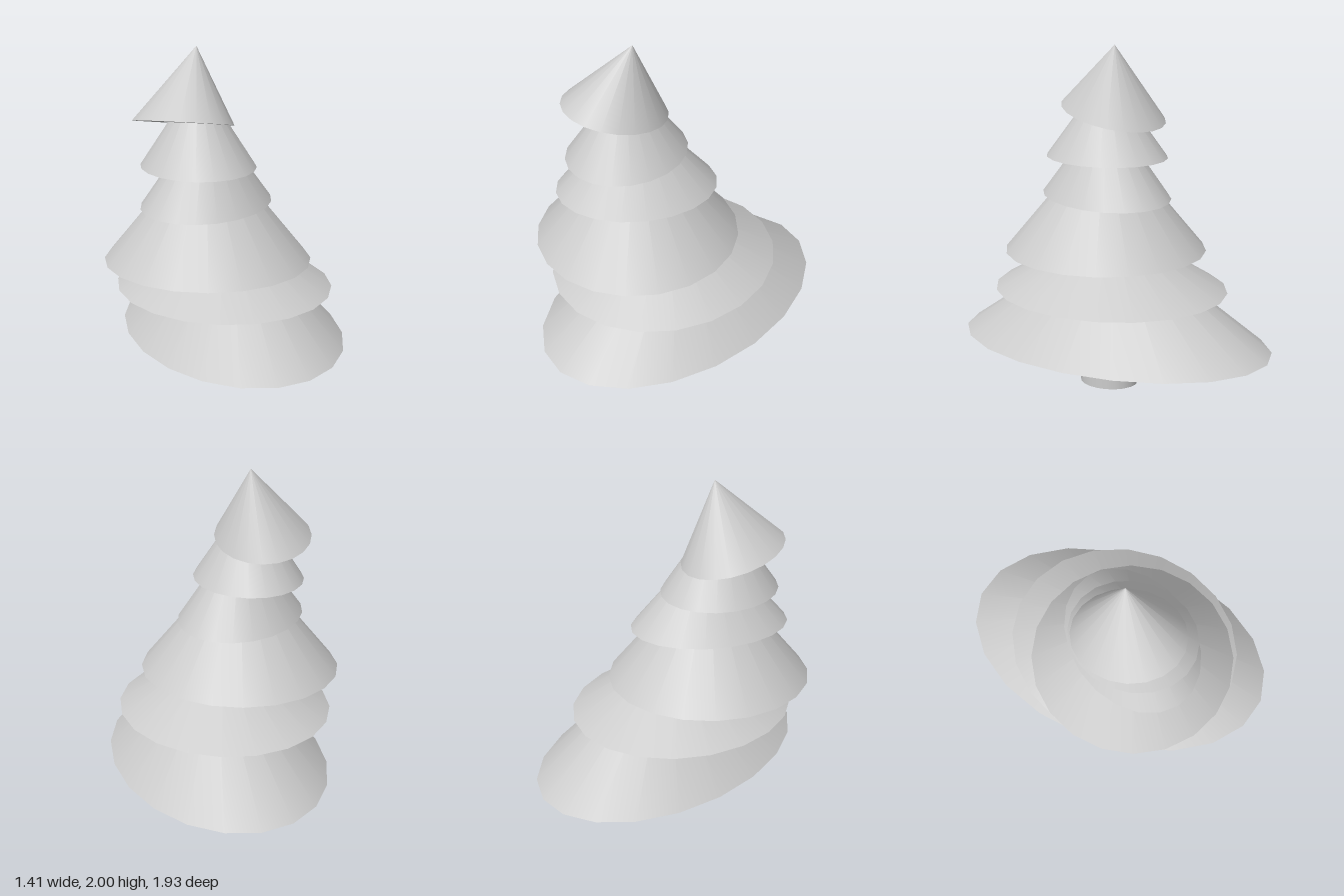
import * as THREE from 'three';

const SIDES = 20;
const material = new THREE.MeshStandardMaterial({ color: 0xcccccc });

// Closed cone on an elliptical base; yaw turns the ellipse, tilt slopes the base plane.
function coneTier(name, { base, apex, rx, rz, yaw = 0, tilt = [0, 0] }) {
  const geometry = new THREE.ConeGeometry(1, 1, SIDES).translate(0, 0.5, 0);
  const centre = new THREE.Vector3(...base);
  geometry.scale(rx, 1, rz).rotateY(THREE.MathUtils.degToRad(yaw));
  geometry.applyMatrix4(new THREE.Matrix4().makeBasis(
    new THREE.Vector3(1, tilt[0], 0),
    new THREE.Vector3(...apex).sub(centre),
    new THREE.Vector3(0, tilt[1], 1)
  ).setPosition(centre));
  const mesh = new THREE.Mesh(geometry, material);
  mesh.name = name;
  return mesh;
}

export function createModel() {
  const tree = new THREE.Group();
  tree.name = 'tree';

  // Oval trunk, reaching a little into the lowest tier
  const trunk = new THREE.Mesh(new THREE.CylinderGeometry(1, 1, 0.32, SIDES), material);
  trunk.name = 'trunk';
  trunk.scale.set(0.153, 1, 0.178);
  trunk.position.set(0.042, 0.16, 0.056);
  tree.add(trunk);

  // Uneven branch tiers, from the bottom up
  const tiers = [
    { base: [0.073, 0.29, 0], apex: [0.073, 0.975, 0], rx: 0.63, rz: 0.967 },
    { base: [0.01, 0.583, 0.06], apex: [0.01, 0.995, 0.06], rx: 0.626, rz: 0.705 },
    { base: [-0.113, 0.778, 0.16], apex: [-0.113, 1.51, 0.16], rx: 0.592, rz: 0.607, yaw: 4 },
    { base: [-0.117, 1.11, 0.157], apex: [-0.117, 1.65, 0.157], rx: 0.357, rz: 0.471, yaw: -35 },
    { base: [-0.17, 1.333, 0.18], apex: [-0.17, 1.84, 0.18], rx: 0.325, rz: 0.374 },
  ];
  tiers.forEach((tier, i) => tree.add(coneTier(`branchTier${i + 1}`, tier)));

  // Leaning tip
  tree.add(coneTier('treeTop', {
    base: [-0.257, 1.583, 0.183], apex: [-0.165, 2, 0.125],
    rx: 0.283, rz: 0.323, tilt: [-0.106, 0.21],
  }));

  return tree;
}
